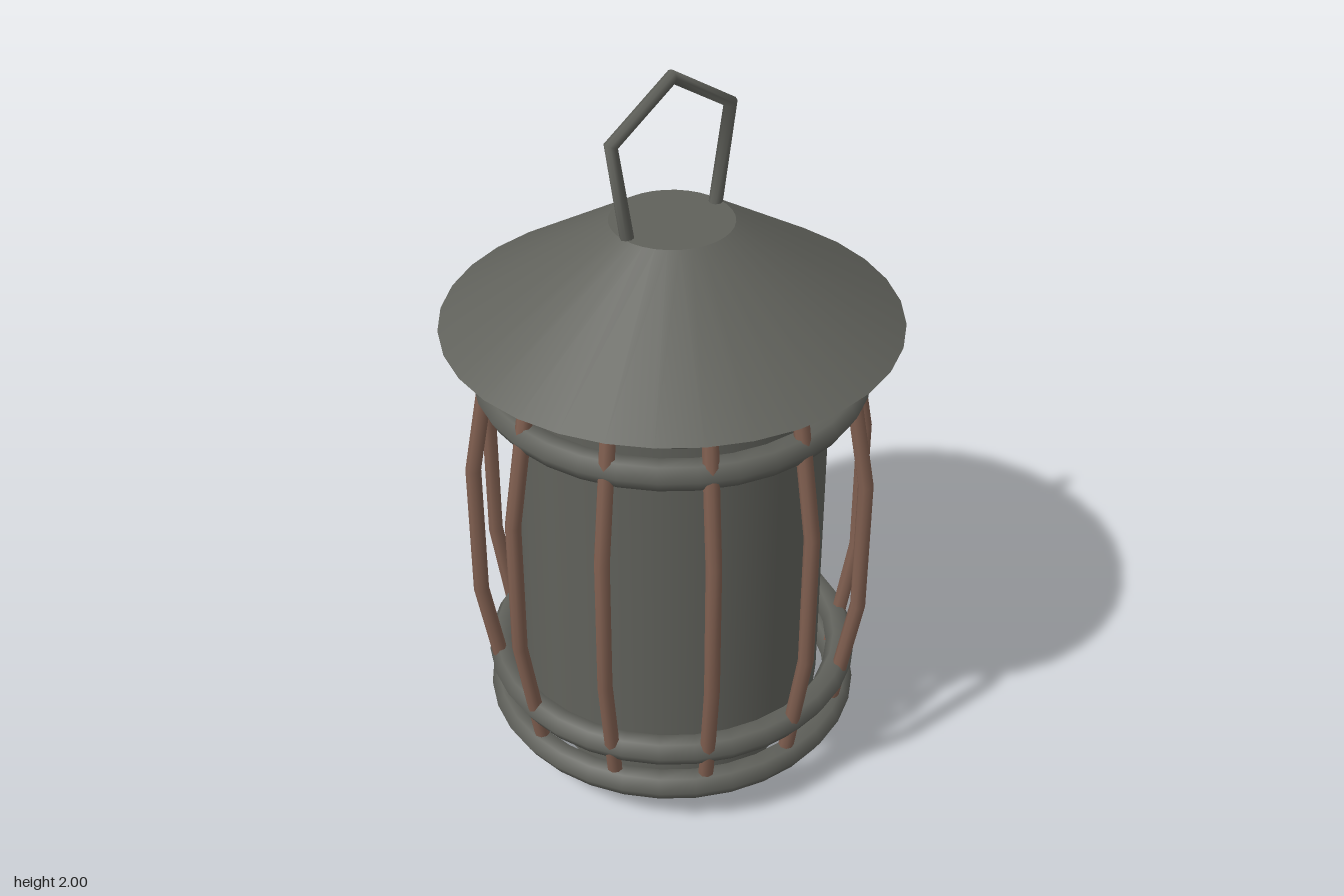
import * as THREE from 'three';

// Polyline whose tube rings sit exactly on the corners, giving mitred bends
class BentPath extends THREE.Curve {
  constructor(points) {
    super();
    this.points = points.map(([x, y]) => new THREE.Vector3(x, y, 0));
  }
  index(u) {
    return Math.round(u * (this.points.length - 1));
  }
  getPoint(u) {
    return this.points[this.index(u)].clone();
  }
  getPointAt(u) {
    return this.getPoint(u);
  }
  getTangentAt(u) {
    const p = this.points, i = this.index(u), t = new THREE.Vector3();
    if (i > 0) t.add(p[i].clone().sub(p[i - 1]).normalize());
    if (i < p.length - 1) t.add(p[i + 1].clone().sub(p[i]).normalize());
    return t.normalize();
  }
}

const bentRod = (points, radius, sides) =>
  new THREE.TubeGeometry(new BentPath(points), points.length - 1, radius, sides);

export function createModel() {
  const model = new THREE.Group();
  const iron = new THREE.MeshStandardMaterial({ name: 'dark iron', color: 0x60615b });
  const copper = new THREE.MeshStandardMaterial({ name: 'copper brown', color: 0x805f50 });
  // Open rod ends are visible from inside
  iron.side = copper.side = THREE.DoubleSide;

  const add = (name, geometry, material, y = 0) => {
    const mesh = new THREE.Mesh(geometry, material);
    mesh.name = name;
    mesh.position.y = y;
    model.add(mesh);
    return mesh;
  };
  const drum = (name, top, bottom, y0, y1) =>
    add(name, new THREE.CylinderGeometry(top, bottom, y1 - y0, 32), iron, (y0 + y1) / 2);

  // Base, lantern body and conical roof
  drum('base', 0.335, 0.335, 0, 0.17);
  drum('body', 0.415, 0.415, 0.17, 1.32);
  drum('roof', 0.16, 0.6, 1.32, 1.6);

  // Hoops holding the cage
  const hoop = new THREE.TorusGeometry(0.48, 0.04, 6, 32).rotateX(Math.PI / 2);
  for (const y of [0.135, 0.26, 1.16, 1.285]) add('hoop', hoop, iron, y);

  // Twelve bowed cage bars
  const bar = bentRod([[0.47, 0.135], [0.535, 0.51], [0.535, 0.91], [0.47, 1.285]], 0.021, 8);
  for (let i = 0; i < 12; i++) add('cageBar', bar, copper).rotation.y = (i * Math.PI) / 6;

  // Carrying handle
  add('handle', bentRod(
    [[-0.145, 1.59], [-0.192, 1.86], [0, 1.982], [0.192, 1.86], [0.145, 1.59]], 0.018, 8), iron);

  return model;
}
